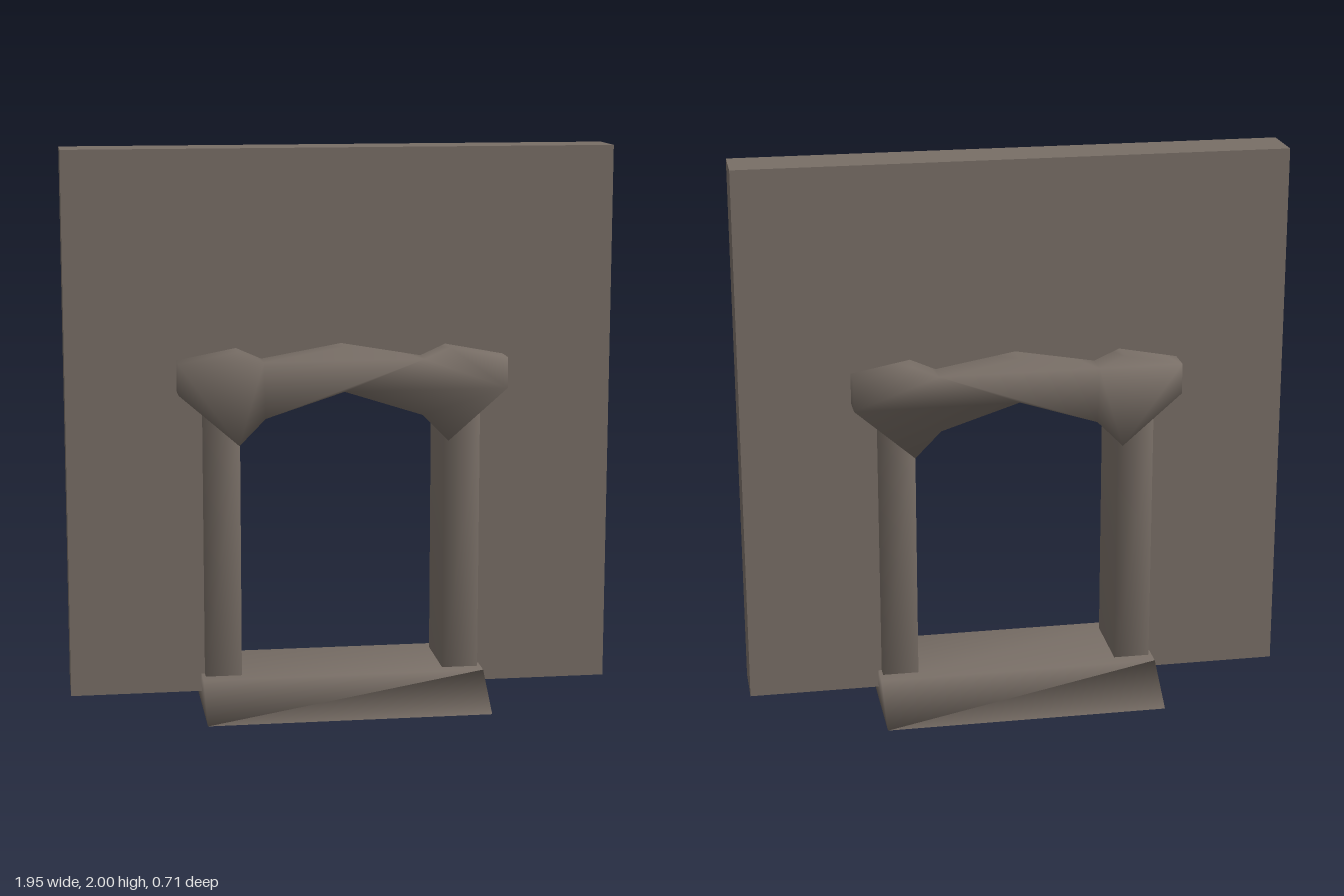
import * as THREE from 'three';
import { mergeVertices } from 'three/addons/utils/BufferGeometryUtils.js';

const stone = new THREE.MeshStandardMaterial({ color: 0x786e66 });
stone.name = 'stone';

// Right-hand halves of the symmetric outlines
const wallHalf = [[0, 1.2], [0.3, 1.13], [0.43, 1.1], [0.43, 0.05], [0.977, 0.05], [0.977, 2]];
const lintelHalf = [
  [0, 1.15], [0.28, 1.06], [0.373, 0.965], [0.585, 1.15],
  [0.585, 1.26], [0.375, 1.3], [0.285, 1.26], [0, 1.31],
];
const thresholdHalf = [[0.355, 0], [0.185, 0.115]];

// Mirrors a half outline and extrudes it, centred on the extrusion axis
function slab(half, depth) {
  const points = half.map((p) => new THREE.Vector2(p[0], p[1]));
  for (let i = half.length - 1; i >= 0; i--) {
    if (half[i][0] > 0) points.push(new THREE.Vector2(-half[i][0], half[i][1]));
  }
  const shape = new THREE.Shape(points);
  const geometry = new THREE.ExtrudeGeometry(shape, { depth: depth, bevelEnabled: false });
  geometry.translate(0, 0, -depth / 2);
  return geometry;
}

// Shares the corners so that normals blend across edges
function soften(geometry) {
  geometry.deleteAttribute('uv');
  geometry.deleteAttribute('normal');
  const merged = mergeVertices(geometry, 0.0001);
  merged.computeVertexNormals();
  return merged;
}

export function createModel() {
  const group = new THREE.Group();
  group.name = 'stoneDoorway';

  function add(name, geometry) {
    const mesh = new THREE.Mesh(geometry, stone);
    mesh.name = name;
    group.add(mesh);
    return mesh;
  }

  // Wall with a doorway cut from its bottom edge
  add('wall', slab(wallHalf, 0.185));

  // Carved lintel with drooping ends
  add('lintel', soften(slab(lintelHalf, 0.37)));

  // Door posts
  const postGeometry = soften(new THREE.BoxGeometry(0.13, 1.02, 0.268));
  add('leftPost', postGeometry).position.set(0.431, 0.56, 0);
  add('rightPost', postGeometry).position.set(-0.431, 0.56, 0);

  // Threshold with sloping front and back
  const threshold = add('threshold', soften(slab(thresholdHalf, 1.016)));
  threshold.rotation.y = Math.PI / 2;

  return group;
}
